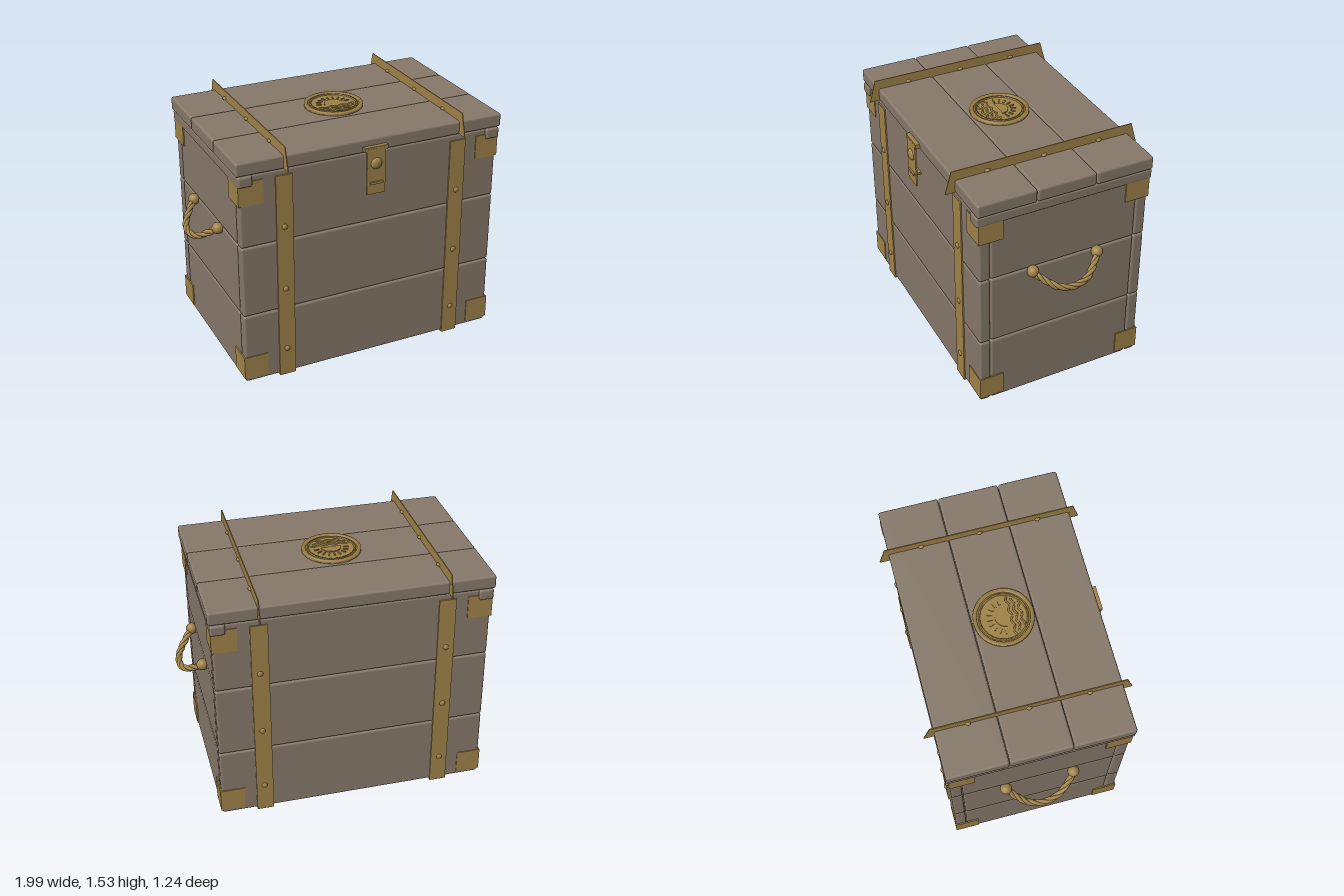
import * as THREE from 'three';
import { RoundedBoxGeometry } from 'three/addons/geometries/RoundedBoxGeometry.js';

export function createModel() {
  const model = new THREE.Group();
  model.name = 'chest';
  const wood = new THREE.MeshStandardMaterial({ name: 'weathered wood', color: 0x87796a });
  const brass = new THREE.MeshStandardMaterial({ name: 'brass', color: 0xa08348 });

  const add = (name, geometry, material, x = 0, y = 0, z = 0, parent = model) => {
    const mesh = new THREE.Mesh(geometry, material);
    mesh.name = name;
    mesh.position.set(x, y, z);
    parent.add(mesh);
    return mesh;
  };
  // Boxes given by their limits: [x0, x1], [y0, y1], [z0, z1]
  const place = (name, make, material, [x0, x1], [y0, y1], [z0, z1]) =>
    add(name, make(x1 - x0, y1 - y0, z1 - z0), material, (x0 + x1) / 2, (y0 + y1) / 2, (z0 + z1) / 2);
  const plankGeo = (w, h, d) => new RoundedBoxGeometry(w, h, d, 2, 0.014);
  const boxGeo = (w, h, d) => new THREE.BoxGeometry(w, h, d);
  const plank = (name, x, y, z) => place(name, plankGeo, wood, x, y, z);
  const plate = (name, x, y, z) => place(name, boxGeo, brass, x, y, z);
  const span = (s, a, b) => (s > 0 ? [a, b] : [-b, -a]);
  const sides = [-1, 1];

  // Body planks, three rows on every side
  for (const y of [[0.01, 0.467], [0.47, 0.927], [0.93, 1.385]]) {
    for (const s of sides) {
      plank(s > 0 ? 'frontPlank' : 'backPlank', [-0.84, 0.84], y, span(s, 0.475, 0.545));
      plank('sidePlank', span(s, 0.77, 0.84), y, [-0.472, 0.472]);
    }
  }
  place('floor', boxGeo, wood, [-0.775, 0.775], [0.011, 0.07], [-0.48, 0.48]);

  // Lid planks and end battens
  for (const z of [[-0.56, -0.19], [-0.187, 0.187], [0.19, 0.56]]) {
    plank('lidPlank', [-0.86, 0.86], [1.39, 1.475], z);
  }
  for (const s of sides) plank('lidBatten', span(s, 0.76, 0.85), [1.32, 1.388], [-0.563, 0.563]);

  // Upright trapezoid strap plate across the lid
  const strapShape = new THREE.Shape([
    new THREE.Vector2(-0.622, 1.395), new THREE.Vector2(0.622, 1.395),
    new THREE.Vector2(0.582, 1.535), new THREE.Vector2(-0.582, 1.535),
  ]);
  const lidStrap = new THREE.ExtrudeGeometry(strapShape, { depth: 0.006, bevelEnabled: false });
  lidStrap.translate(0, 0, -0.003).rotateY(Math.PI / 2);
  const rivet = new THREE.SphereGeometry(0.018, 16, 10);

  for (const sx of sides) {
    // Straps with rivets
    add('lidStrap', lidStrap, brass, sx * 0.57);
    plate('bottomStrap', span(sx, 0.515, 0.62), [0, 0.012], [-0.553, 0.553]);
    for (const z of [-0.36, 0, 0.36]) add('lidRivet', rivet, brass, sx * 0.57, 1.485, z).scale.set(1, 0.6, 1);
    for (const sz of sides) {
      plate('wallStrap', span(sx, 0.515, 0.62), [0, 1.35], span(sz, 0.54, 0.553));
      for (const y of [0.185, 0.605, 1.02]) {
        add('wallRivet', rivet, brass, sx * 0.57, y, sz * 0.553).scale.set(1, 1, 0.6);
      }
      // Corner brackets, folded around the upright edges
      for (const y of [[0.035, 0.185], [1.2, 1.35]]) {
        plate('cornerBracketFace', span(sx, 0.695, 0.848), y, span(sz, 0.542, 0.55));
        plate('cornerBracketSide', span(sx, 0.84, 0.848), y, span(sz, 0.395, 0.55));
      }
    }
  }

  // Rope handles: three strands twisted around a sagging path
  const path = new THREE.CatmullRomCurve3([
    [0.86, 0.915, 0.215], [0.905, 0.875, 0.17], [0.957, 0.83, 0.095], [0.976, 0.815, 0],
    [0.957, 0.83, -0.095], [0.905, 0.875, -0.17], [0.86, 0.915, -0.215],
  ].map((p) => new THREE.Vector3(...p)));
  const steps = 72;
  const frames = path.computeFrenetFrames(steps, false);
  const strands = [0, 1, 2].map((k) => {
    const points = [];
    for (let i = 0; i <= steps; i++) {
      const a = (k / 3 + (i / steps) * 3) * Math.PI * 2;
      points.push(path.getPointAt(i / steps)
        .addScaledVector(frames.normals[i], 0.0095 * Math.cos(a))
        .addScaledVector(frames.binormals[i], 0.0095 * Math.sin(a)));
    }
    return new THREE.TubeGeometry(new THREE.CatmullRomCurve3(points), 90, 0.0125, 8);
  });
  const knob = new THREE.SphereGeometry(0.036, 20, 14);
  for (const s of sides) {
    const handle = new THREE.Group();
    handle.name = s > 0 ? 'leftHandle' : 'rightHandle';
    for (const g of strands) add('ropeStrand', g, brass, 0, 0, 0, handle);
    for (const z of sides) add('handleKnob', knob, brass, 0.86, 0.915, z * 0.212, handle);
    if (s < 0) handle.rotation.y = Math.PI;
    model.add(handle);
  }

  // Latch: hinge tab, hasp, round button and staple
  plate('latchTab', [-0.075, 0.075], [1.402, 1.43], [0.55, 0.586]);
  plate('latchHasp', [-0.06, 0.06], [1.13, 1.42], [0.577, 0.587]);
  add('latchButton', new THREE.SphereGeometry(0.036, 24, 14), brass, 0, 1.325, 0.587).scale.z = 0.5;
  plate('latchStaple', [-0.042, 0.042], [1.195, 1.21], [0.54, 0.597]);

  // Lid medallion: turned disc with raised rims
  const medallion = new THREE.Group();
  medallion.name = 'medallion';
  medallion.position.y = 1.475;
  model.add(medallion);
  add('medallionDisc', new THREE.CylinderGeometry(0.181, 0.181, 0.01, 64), brass, 0, 0.005, 0, medallion);
  const rim = (outer, inner, height) => {
    const profile = [[inner, 0], [outer, 0], [outer, height], [inner, height], [inner, 0]];
    const geo = new THREE.LatheGeometry(profile.map((p) => new THREE.Vector2(...p)), 64);
    add('medallionRim', geo, brass, 0, 0, 0, medallion);
  };
  rim(0.181, 0.158, 0.018);
  rim(0.149, 0.138, 0.016);

  // Half sun with rays above rolling waves
  const sun = new THREE.CylinderGeometry(0.062, 0.062, 0.016, 32, 1, false, Math.PI / 2, Math.PI);
  add('sunRelief', sun, brass, 0, 0.008, 0.01, medallion);
  for (let i = 0; i < 9; i++) {
    const a = (Math.PI * (i + 0.5)) / 9;
    const ray = add('sunRay', boxGeo(0.03, 0.016, 0.009), brass,
      Math.cos(a) * 0.094, 0.008, 0.01 - Math.sin(a) * 0.094, medallion);
    ray.rotation.y = a;
  }
  for (const [z, half] of [[0.045, 0.12], [0.075, 0.105], [0.105, 0.08]]) {
    const points = [];
    for (let i = 0; i <= 32; i++) {
      const x = half * (i / 16 - 1);
      points.push(new THREE.Vector3(x, 0.01, z + 0.007 * Math.cos(x * 95)));
    }
    add('waveRelief', new THREE.TubeGeometry(new THREE.CatmullRomCurve3(points), 64, 0.006, 6), brass, 0, 0, 0, medallion);
  }
  return model;
}
